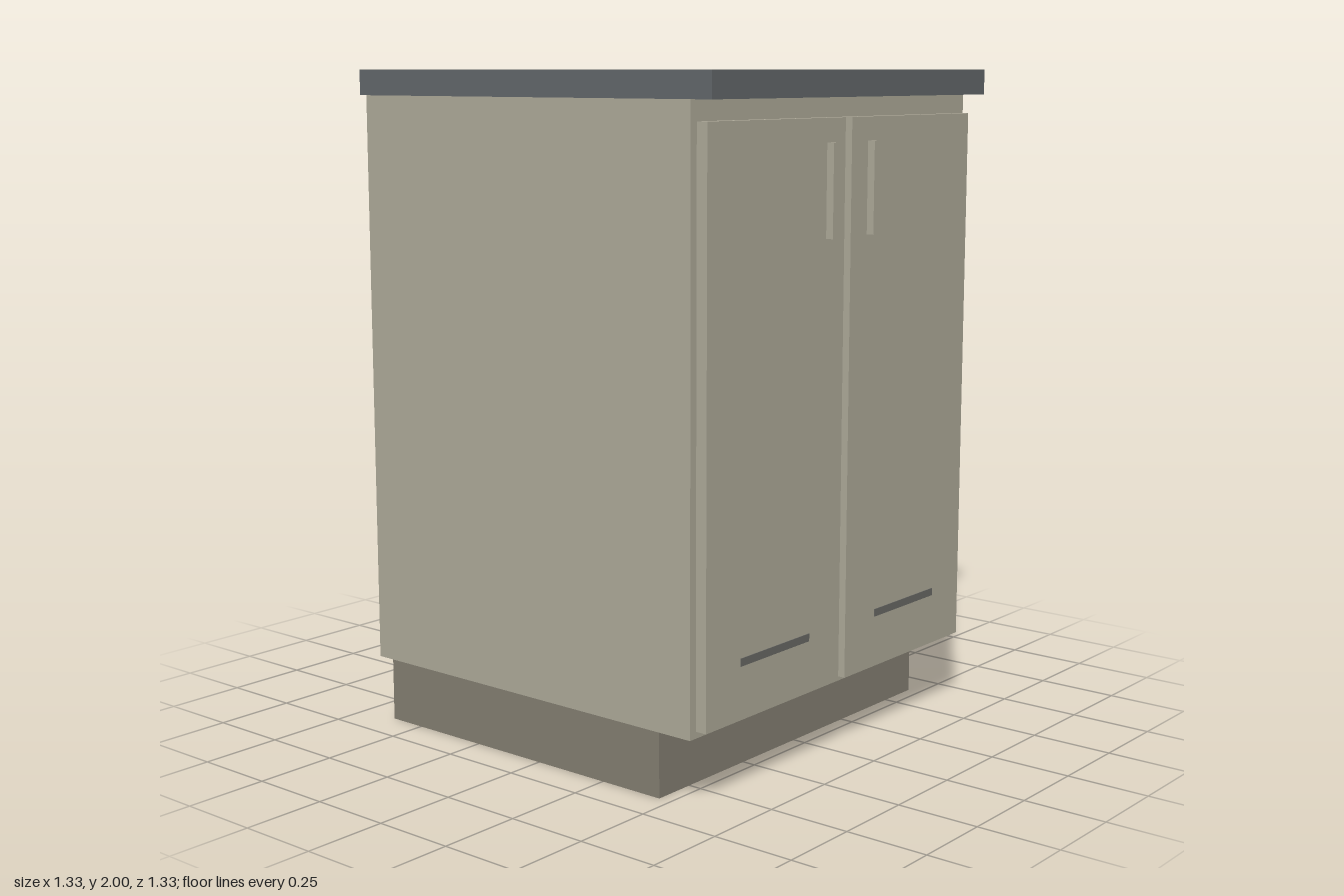
import * as THREE from 'three';

const mat = (name, color) => {
  const m = new THREE.MeshStandardMaterial({ color });
  m.name = name;
  return m;
};

export function createModel() {
  const cabinet = new THREE.Group();
  cabinet.name = 'baseCabinet';
  const beige = mat('beigePaint', 0xb0ac9b);
  const taupe = mat('taupePlinth', 0x858073);
  const slate = mat('slateWorktop', 0x64696c);
  const slotGrey = mat('slotGrey', 0x6a6a66);

  // Box given by its extents on each axis
  const box = (name, material, [x0, x1], [y0, y1], [z0, z1]) => {
    const mesh = new THREE.Mesh(new THREE.BoxGeometry(x1 - x0, y1 - y0, z1 - z0), material);
    mesh.position.set((x0 + x1) / 2, (y0 + y1) / 2, (z0 + z1) / 2);
    mesh.name = name;
    cabinet.add(mesh);
  };

  // Recessed base, carcass and overhanging worktop
  box('plinth', taupe, [-0.633, 0.633], [0, 0.205], [-0.62, 0.46]);
  box('carcass', beige, [-0.664, 0.664], [0.205, 1.925], [-0.643, 0.595]);
  box('worktop', slate, [-0.667, 0.667], [1.925, 2], [-0.667, 0.667]);

  // Pair of doors, each with an upright handle and a low slot
  for (const [side, s] of [['left', 1], ['right', -1]]) {
    const span = (a, b) => (s > 0 ? [a, b] : [-b, -a]);
    box(side + 'Door', beige, span(0.016, 0.639), [0.225, 1.868], [0.595, 0.63]);
    box(side + 'Handle', beige, span(0.082, 0.119), [1.533, 1.8], [0.64, 0.663]);
    box(side + 'DoorSlot', slotGrey, span(0.167, 0.487), [0.379, 0.402], [0.628, 0.632]);
  }
  return cabinet;
}
